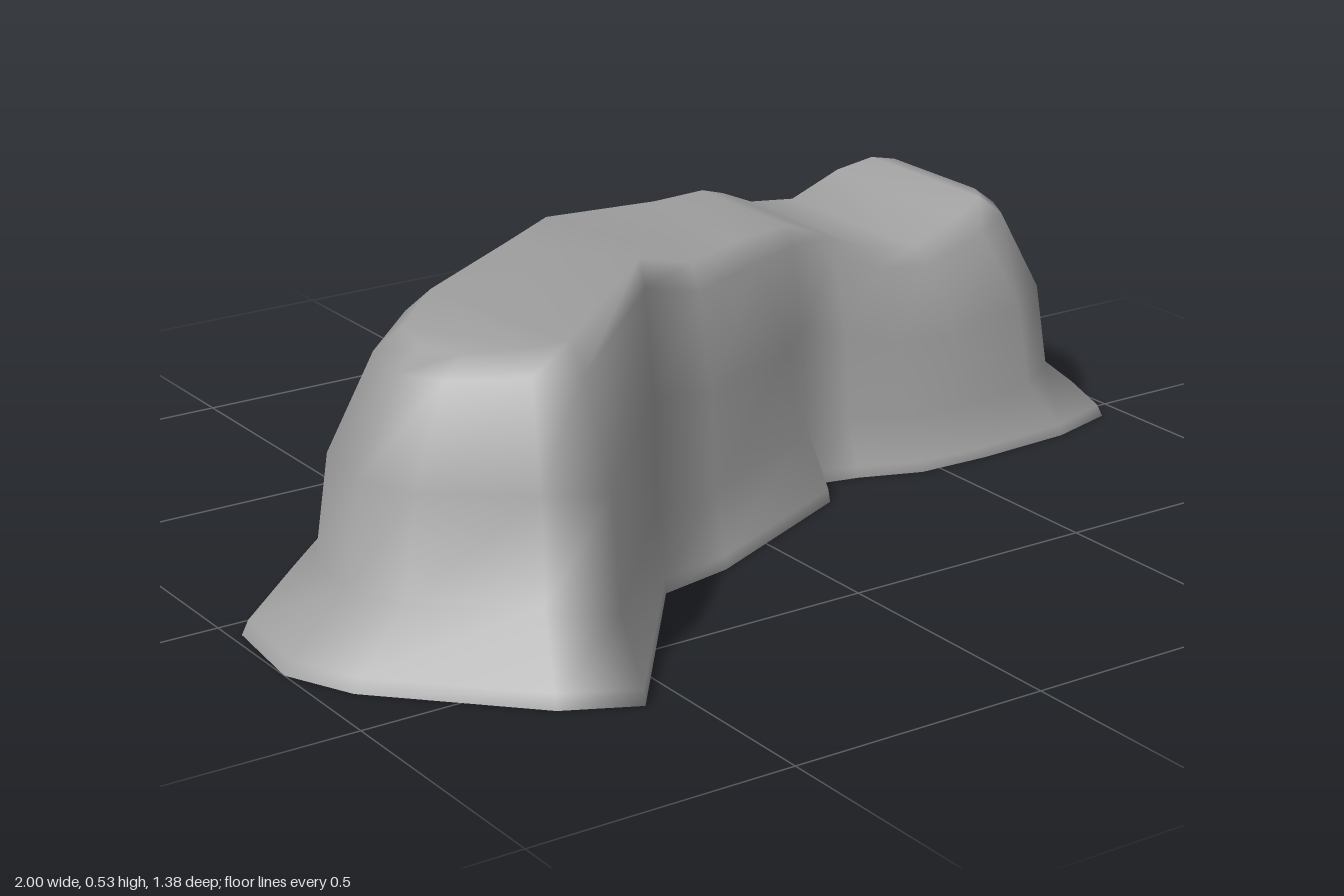
import * as THREE from 'three';

// Stations from the right end to the left end:
// [base x, base z, crest x, crest z, crest height]
const BACK = [
  [1.0, -0.43, 0.76, -0.40, 0.46], [0.95, -0.57, 0.74, -0.45, 0.455],
  [0.80, -0.685, 0.68, -0.485, 0.43], [0.62, -0.695, 0.57, -0.49, 0.385],
  [0.46, -0.685, 0.46, -0.48, 0.40], [0.31, -0.625, 0.37, -0.45, 0.44],
  [0.26, -0.59, 0.30, -0.42, 0.465], [0.15, -0.555, 0.18, -0.41, 0.465],
  [-0.16, -0.60, -0.05, -0.44, 0.465], [-0.49, -0.41, -0.23, -0.29, 0.485],
  [-0.80, -0.12, -0.55, -0.02, 0.525], [-0.98, 0.05, -0.69, 0.12, 0.52],
  [-1.0, 0.24, -0.70, 0.20, 0.51],
];
const FRONT = [
  [1.0, -0.09, 0.76, -0.14, 0.46], [0.95, 0.05, 0.74, -0.10, 0.455],
  [0.81, 0.09, 0.68, -0.09, 0.43], [0.61, 0.10, 0.57, -0.09, 0.385],
  [0.46, 0.095, 0.46, -0.09, 0.40], [0.34, 0.05, 0.37, -0.10, 0.44],
  [0.25, 0.03, 0.28, -0.11, 0.475], [0.22, 0.12, 0.14, -0.08, 0.475],
  [-0.13, 0.28, -0.02, 0.01, 0.485], [-0.28, 0.31, -0.16, 0.05, 0.53],
  [-0.57, 0.68, -0.50, 0.35, 0.525], [-0.70, 0.615, -0.57, 0.33, 0.52],
  [-0.94, 0.37, -0.66, 0.27, 0.51],
];

// Slope profile: inward share and height share for each ring
const BROAD = [0, 0.04, 0.45, 0.54, 0.83, 1];
const STEEP = [0, 0.02, 0.32, 0.43, 0.78, 1];
const RISE = [0, 0.05, 0.23, 0.6, 0.93, 1];

function makeGeometry(positions, indices) {
  const g = new THREE.BufferGeometry();
  g.setAttribute('position', new THREE.Float32BufferAttribute(positions, 3));
  g.setIndex(indices);
  g.computeVertexNormals();
  return g;
}

export function createModel() {
  const group = new THREE.Group();
  group.name = 'curvedMound';
  const grey = new THREE.MeshStandardMaterial({ color: 0xa0a0a0 });
  grey.name = 'stoneGrey';

  const n = BACK.length;
  const count = 2 * n;
  const loop = [
    ...BACK.map((s) => ({ s, inward: BROAD })),
    ...FRONT.map((s, i) => ({ s, inward: i >= 2 && i <= 10 ? STEEP : BROAD })).reverse(),
  ];

  // Rings from the flared foot up to the crest
  const positions = [];
  RISE.forEach((rise, r) => {
    for (const { s, inward } of loop) {
      const t = inward[r];
      positions.push(s[0] + (s[2] - s[0]) * t, s[4] * rise, s[1] + (s[3] - s[1]) * t);
    }
  });

  // Sloping walls
  const indices = [];
  for (let r = 0; r < RISE.length - 1; r++) {
    for (let i = 0; i < count; i++) {
      const k = (i + 1) % count;
      const a = r * count + i, b = r * count + k;
      indices.push(a, b, b + count, a, b + count, a + count);
    }
  }

  // Top surface strips joining back and front crests
  const top = (RISE.length - 1) * count;
  for (let i = 0; i < n - 1; i++) {
    const b0 = top + i, b1 = b0 + 1;
    const f0 = top + count - 1 - i, f1 = f0 - 1;
    indices.push(b0, b1, f1, b0, f1, f0);
  }
  const mound = new THREE.Mesh(makeGeometry(positions, indices), grey);
  mound.name = 'moundBody';
  group.add(mound);

  // Flat underside
  const under = [];
  for (let i = 0; i < n - 1; i++) {
    const f0 = count - 1 - i;
    under.push(i, f0 - 1, i + 1, i, f0, f0 - 1);
  }
  const underside = new THREE.Mesh(makeGeometry(positions.slice(0, count * 3), under), grey);
  underside.name = 'underside';
  group.add(underside);

  return group;
}
